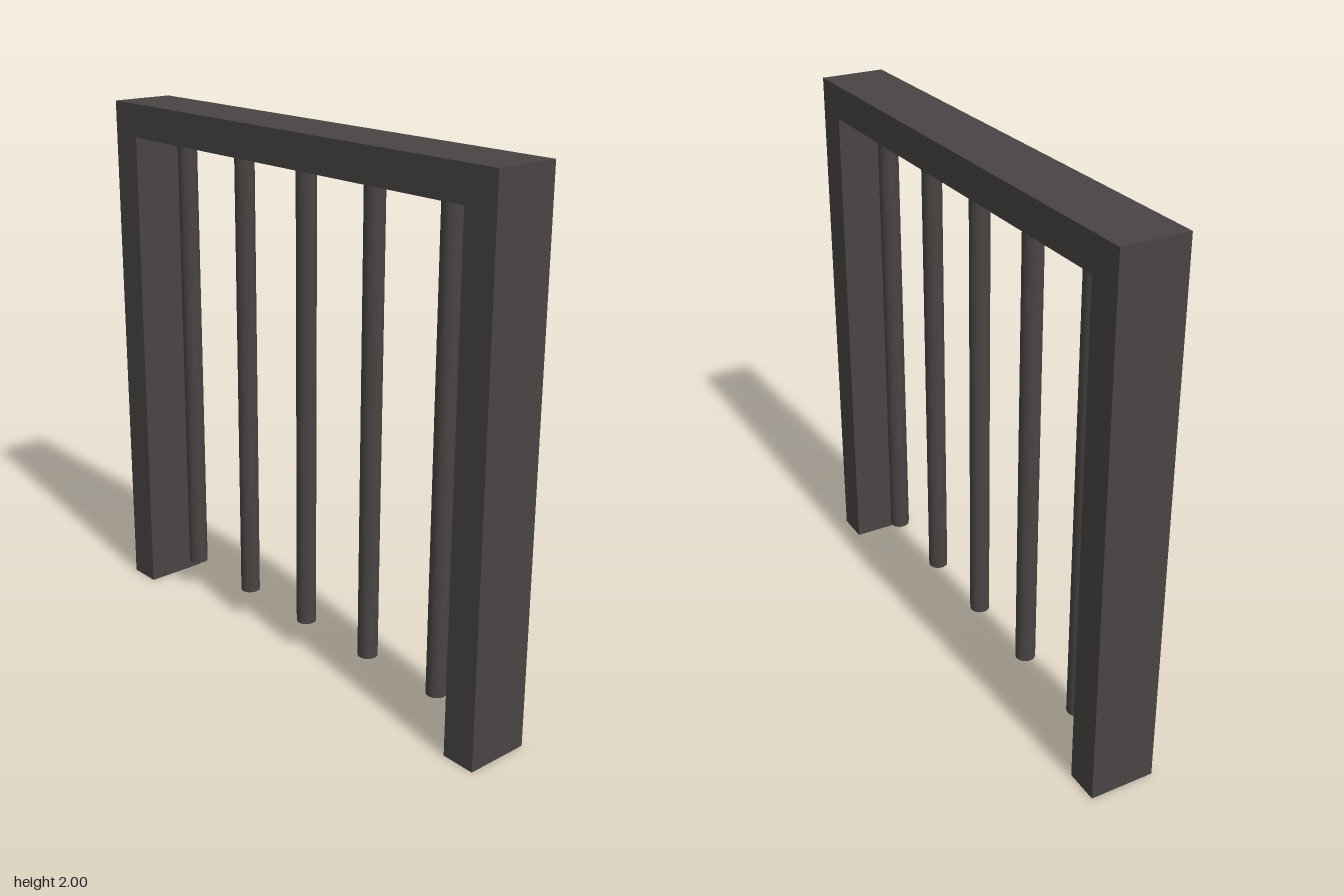
import * as THREE from 'three';

export function createModel() {
  const group = new THREE.Group();
  group.name = 'barredGate';

  const iron = new THREE.MeshStandardMaterial({ color: 0x484443 });
  iron.name = 'darkIron';

  const halfWidth = 0.993, innerHalf = 0.863, height = 2, beamBottom = 1.873, depth = 0.246;

  // Frame: two posts and a top beam as one arch-shaped extrusion
  const outline = new THREE.Shape([
    [-halfWidth, 0], [-innerHalf, 0], [-innerHalf, beamBottom], [innerHalf, beamBottom],
    [innerHalf, 0], [halfWidth, 0], [halfWidth, height], [-halfWidth, height],
  ].map(([x, y]) => new THREE.Vector2(x, y)));
  const frameGeometry = new THREE.ExtrudeGeometry(outline, { depth, bevelEnabled: false });
  frameGeometry.translate(0, 0, -depth / 2);
  const frame = new THREE.Mesh(frameGeometry, iron);
  frame.name = 'frame';
  group.add(frame);

  // Round bars hanging from the beam, ending above the ground
  const barBottom = 0.12;
  const barLength = beamBottom - barBottom;
  const barGeometry = new THREE.CylinderGeometry(0.037, 0.037, barLength, 32);
  [-0.7, -0.347, 0, 0.347, 0.7].forEach((x, i) => {
    const bar = new THREE.Mesh(barGeometry, iron);
    bar.name = `bar${i + 1}`;
    bar.position.set(x, barBottom + barLength / 2, 0);
    group.add(bar);
  });

  return group;
}
